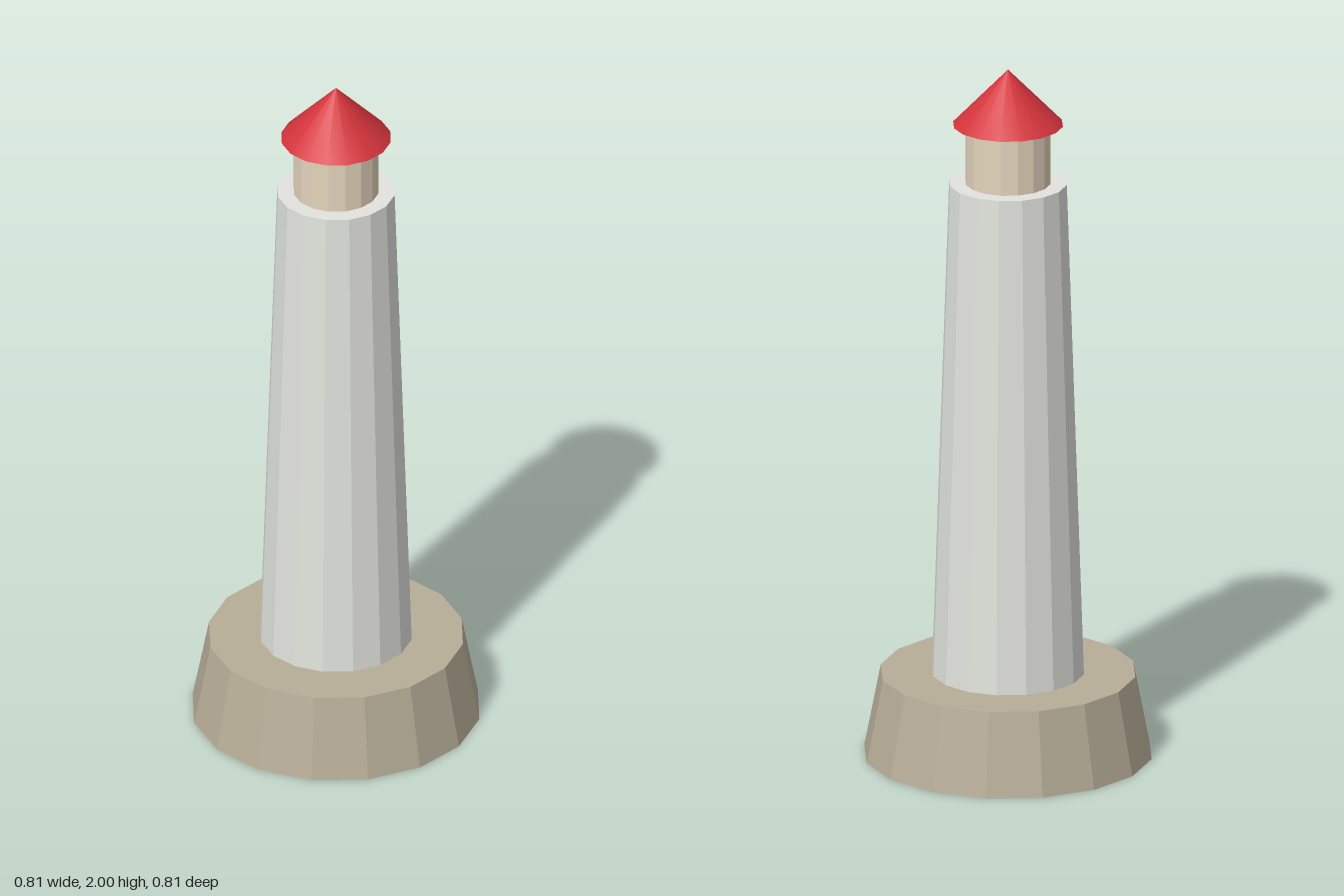
import * as THREE from 'three';

const SIDES = 16;

export function createModel() {
  const model = new THREE.Group();
  model.name = 'lighthouse';

  const material = (name, color, flatShading) => {
    const m = new THREE.MeshStandardMaterial({ color, flatShading });
    m.name = name;
    return m;
  };
  const stone = material('stone', 0xb8ae98, true);
  const whitewash = material('whitewash', 0xe2e4de, true);
  const lamp = material('lampRoom', 0xe4d4bc, true);
  const red = material('roofRed', 0xd4343c, false);

  // Round part tapering from the bottom height to the top height
  const addRound = (name, mat, bottomRadius, topRadius, bottom, top) => {
    const geometry = new THREE.CylinderGeometry(topRadius, bottomRadius, top - bottom, SIDES);
    const mesh = new THREE.Mesh(geometry, mat);
    mesh.name = name;
    mesh.position.y = (bottom + top) / 2;
    model.add(mesh);
  };

  addRound('base', stone, 0.403, 0.357, 0, 0.238);
  addRound('tower', whitewash, 0.213, 0.165, 0.238, 1.67);
  addRound('lanternRoom', lamp, 0.119, 0.119, 1.67, 1.84);
  addRound('roof', red, 0.154, 0, 1.84, 2);

  return model;
}
